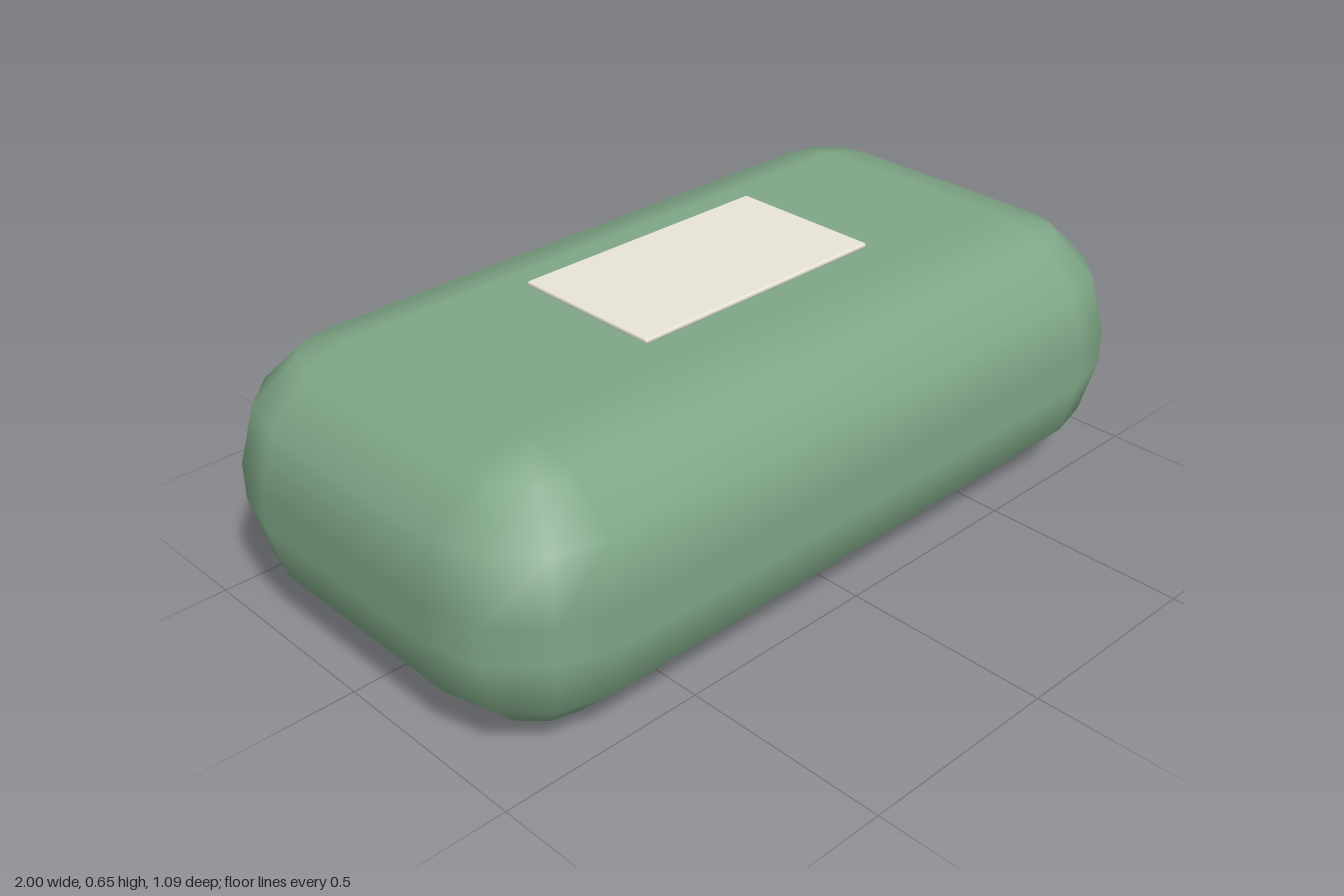
import * as THREE from 'three';

// Box with round edges and corners: a sphere pulled apart into eight octants.
function softBox(w, h, d, r, steps) {
  const q = Math.PI / 2;
  const pos = [], nor = [], idx = [];
  const lats = [];
  for (const half of [-1, 0])
    for (let i = 0; i <= steps; i++) lats.push({ a: q * (half + i / steps), side: half ? -1 : 1 });
  const n = 4 * (steps + 1);

  // Rings of points from the bottom face to the top face
  for (const { a, side } of lats)
    for (let c = 0; c < 4; c++)
      for (let i = 0; i <= steps; i++) {
        const t = q * (c + i / steps);
        const nx = Math.cos(a) * Math.cos(t), ny = Math.sin(a), nz = Math.cos(a) * Math.sin(t);
        const sx = c === 0 || c === 3 ? 1 : -1, sz = c < 2 ? 1 : -1;
        pos.push(sx * (w / 2 - r) + nx * r, side * (h / 2 - r) + ny * r, sz * (d / 2 - r) + nz * r);
        nor.push(nx, ny, nz);
      }

  // Walls between neighbouring rings
  for (let j = 0; j < lats.length - 1; j++)
    for (let i = 0; i < n; i++) {
      const k = (i + 1) % n;
      const a = j * n + i, b = j * n + k, c = a + n, e = b + n;
      idx.push(a, c, b, b, c, e);
    }

  // Flat bottom and top
  const top = (lats.length - 1) * n, s = steps + 1;
  idx.push(0, s, 2 * s, 0, 2 * s, 3 * s);
  idx.push(top, top + 2 * s, top + s, top, top + 3 * s, top + 2 * s);

  const g = new THREE.BufferGeometry();
  g.setAttribute('position', new THREE.Float32BufferAttribute(pos, 3));
  g.setAttribute('normal', new THREE.Float32BufferAttribute(nor, 3));
  g.setIndex(idx);
  return g;
}

function part(name, geometry, color, y) {
  const mesh = new THREE.Mesh(geometry, new THREE.MeshStandardMaterial({ color }));
  mesh.name = name;
  mesh.position.y = y;
  return mesh;
}

export function createModel() {
  const group = new THREE.Group();
  group.name = 'softBlock';

  // Rounded green body
  group.add(part('body', softBox(2, 0.632, 1.09, 0.273, 3), 0x7fa686, 0.316));

  // Thin pale label hovering just above the top
  group.add(part('label', softBox(0.682, 0.012, 0.385, 0.005, 3), 0xe8e4d8, 0.649));

  return group;
}
